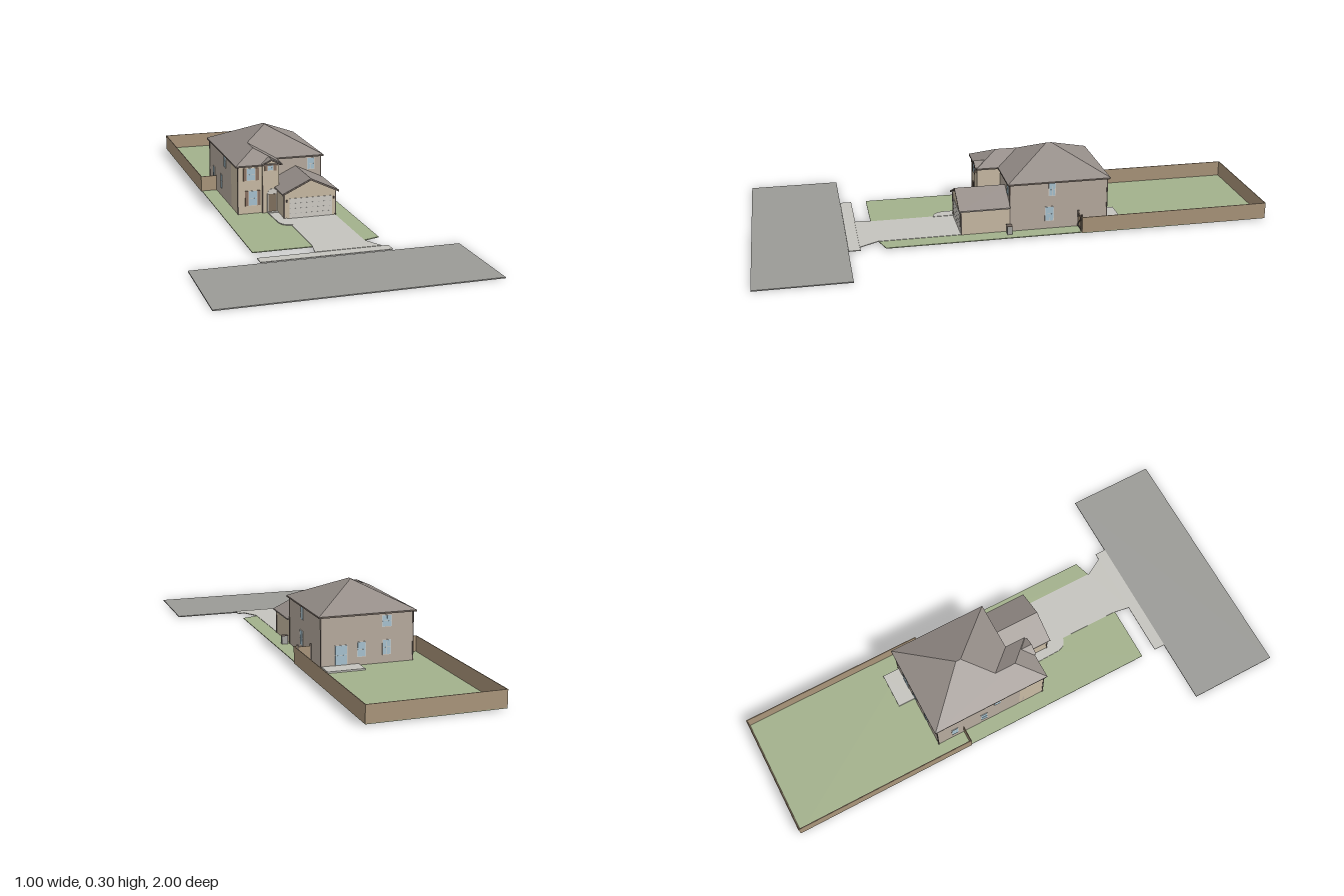
import * as THREE from 'three';

const mat = (color, side = THREE.FrontSide) => {
  const m = new THREE.MeshStandardMaterial({ color, side });
  m.flatShading = true;
  return m;
};
const M = {
  lawn: mat(0xa3b18c), road: mat(0x9b9b97), concrete: mat(0xc5c4be), fence: mat(0xac977c),
  siding: mat(0xb9ada0), stucco: mat(0xcbbda6), roof: mat(0x968e89, THREE.DoubleSide),
  trim: mat(0x756a62), white: mat(0xd3cfc8), glass: mat(0xa9c4d2), shutter: mat(0x8c7463),
  door: mat(0x81715f), metal: mat(0xa5a5a2),
};

export function createModel() {
  const root = new THREE.Group();
  root.name = 'houseOnLot';

  const add = (name, geo, m, parent = root) => {
    const mesh = new THREE.Mesh(geo, m);
    mesh.name = name;
    parent.add(mesh);
    return mesh;
  };
  // Box given by its limits
  const box = (name, x0, x1, y0, y1, z0, z1, m, parent) => {
    const b = add(name, new THREE.BoxGeometry(x1 - x0, y1 - y0, z1 - z0), m, parent);
    b.position.set((x0 + x1) / 2, (y0 + y1) / 2, (z0 + z1) / 2);
    return b;
  };
  const shapeOf = pts => new THREE.Shape(pts.map(p => new THREE.Vector2(...p)));
  const extrude = (shape, depth) =>
    new THREE.ExtrudeGeometry(shape, { depth, bevelEnabled: false, curveSegments: 12 });
  // Thin ground slab from a plan outline of [x, z] points
  const slab = (name, shape, y, thick, m) =>
    add(name, extrude(shape, thick).rotateX(Math.PI / 2).translate(0, y, 0), m);
  // Upright panel from an [x, y] outline, from z0 to z1
  const panel = (name, pts, z0, z1, m) =>
    add(name, extrude(shapeOf(pts), z1 - z0).translate(0, 0, z0), m);

  // Ground
  box('road', -0.5, 0.495, 0, 0.004, 0.645, 1, M.road);
  slab('lawn', shapeOf([[-0.25, -1], [0.245, -1], [0.245, -0.25], [0.24, -0.25], [0.24, 0.505],
    [0.172, 0.527], [-0.03, 0.54], [-0.247, 0.54], [-0.247, -0.25], [-0.25, -0.25]]), 0.008, 0.003, M.lawn);
  slab('driveway', shapeOf([[-0.025, 0.19], [0.175, 0.19], [0.175, 0.53], [0.215, 0.602],
    [-0.037, 0.602], [-0.025, 0.53]]), 0.0095, 0.003, M.concrete);
  box('sidewalk', -0.247, 0.24, 0.005, 0.008, 0.6, 0.645, M.concrete);
  const path = shapeOf([[-0.07, 0.1], [-0.03, 0.1], [-0.03, 0.21], [-0.02, 0.21], [-0.02, 0.292]]);
  path.quadraticCurveTo(-0.068, 0.288, -0.066, 0.23);
  slab('frontPath', path, 0.011, 0.004, M.concrete);
  box('backPatio', 0.03, 0.175, 0.006, 0.014, -0.435, -0.36, M.concrete);

  // Back yard fence
  const F = 0.003, top = 0.07;
  box('backFence', -0.25, 0.245, 0.006, top, -1, -1 + F, M.fence);
  box('rightFence', -0.25, -0.25 + F, 0.006, top, -1, -0.25, M.fence);
  box('leftFence', 0.245 - F, 0.245, 0.006, top, -1, -0.25, M.fence);
  box('fenceReturn', -0.25, -0.183, 0.006, top, -0.25 - F, -0.25, M.fence);
  box('fenceReturn', 0.232, 0.245, 0.006, top, -0.25 - F, -0.25, M.fence);

  // Garden gate
  const gate = new THREE.Group();
  gate.name = 'gardenGate';
  root.add(gate);
  box('gatePanel', 0.178, 0.232, 0.012, 0.066, -0.252, -0.25, M.fence, gate);
  for (const x of [0.18, 0.23]) box('gatePost', x - 0.003, x + 0.003, 0.006, 0.075, -0.255, -0.248, M.trim, gate);
  for (const y of [0.016, 0.063]) box('gateRail', 0.18, 0.23, y - 0.002, y + 0.002, -0.25, -0.247, M.trim, gate);
  const brace = box('gateBrace', 0.172, 0.238, 0.038, 0.041, -0.25, -0.2475, M.trim, gate);
  brace.rotation.z = 0.75;

  // House walls
  const eave = 0.203;
  box('mainWalls', -0.185, 0.178, 0.006, 0.198, -0.365, 0.02, M.siding);
  box('frontWingWalls', -0.185, -0.02, 0.006, 0.198, 0, 0.105, M.stucco);
  panel('entryBay', [[-0.088, 0.006], [-0.022, 0.006], [-0.022, 0.203], [-0.055, 0.218], [-0.088, 0.203]],
    0.09, 0.112, M.stucco);
  panel('garageWalls', [[-0.03, 0.006], [0.176, 0.006], [0.176, 0.108], [0.073, 0.158], [-0.03, 0.108]],
    0.01, 0.21, M.stucco);

  // Hipped roof, faces given by corners [x, y, z] in order
  const A = [-0.195, eave, -0.375], B = [0.187, eave, -0.375], C = [0.187, eave, 0.03];
  const D = [-0.195, eave, 0.115], E = [-0.01, eave, 0.115], V = [-0.01, eave, 0.03];
  const P1 = [-0.003, 0.297, -0.183], P2 = [-0.003, 0.297, -0.163];
  const W1 = [-0.102, 0.249, 0.022], W2 = [-0.102, 0.249, -0.065];
  const roofFaces = [[A, P1, B], [B, P1, P2, C], [A, P1, P2, W2, W1, D], [P2, W2, V, C], [W2, W1, E, V], [W1, D, E]];
  const verts = [];
  for (const f of roofFaces) {
    for (let i = 1; i < f.length - 1; i++) {
      const t = [f[0], f[i], f[i + 1]].map(p => new THREE.Vector3(...p));
      const up = t[1].clone().sub(t[0]).cross(t[2].clone().sub(t[0])).y > 0;
      for (const p of up ? t : [t[0], t[2], t[1]]) verts.push(p.x, p.y, p.z);
    }
  }
  const hip = new THREE.BufferGeometry();
  hip.setAttribute('position', new THREE.Float32BufferAttribute(verts, 3));
  hip.computeVertexNormals();
  add('hipRoof', hip, M.roof);
  const eaves = shapeOf([A, B, C, V, E, D].map(p => [p[0], p[2]]));
  slab('eaves', eaves, eave - 0.0003, 0.006, M.trim);

  // Gable roofs with the ridge along z
  const gableRoof = (name, x0, x1, y, apex, z0, z1, t) => {
    const c = (x0 + x1) / 2;
    panel(name, [[x0, y - t], [c, apex - t], [x1, y - t], [x1, y], [c, apex], [x0, y]], z0, z1, M.roof);
    panel(name + 'Fascia', [[x0, y - t - 0.002], [c, apex - t - 0.002], [x1, y - t - 0.002],
      [x1, y - 0.001], [c, apex - 0.001], [x0, y - 0.001]], z1 - 0.002, z1 + 0.001, M.trim);
  };
  gableRoof('garageRoof', -0.04, 0.187, 0.109, 0.163, 0.02, 0.218, 0.005);
  gableRoof('entryGableRoof', -0.093, -0.017, 0.205, 0.223, 0.07, 0.12, 0.004);

  // Garage door with panel grooves, and lamps
  box('garageDoor', -0.01, 0.162, 0.008, 0.088, 0.205, 0.212, M.white);
  for (let i = 1; i < 4; i++) box('doorGroove', -0.01, 0.162, 0.008 + i * 0.02, 0.0085 + i * 0.02, 0.211, 0.2124, M.metal);
  for (const x of [-0.02, 0.169]) box('wallLamp', x - 0.003, x + 0.003, 0.074, 0.084, 0.209, 0.215, M.trim);

  // Arched entry
  const arch = shapeOf([[-0.07, 0.008], [-0.028, 0.008], [-0.028, 0.083]]);
  arch.absarc(-0.049, 0.083, 0.021, 0, Math.PI, false);
  add('entryArch', extrude(arch, 0.004).translate(0, 0, 0.11), M.white);
  box('frontDoor', -0.065, -0.033, 0.012, 0.083, 0.112, 0.1155, M.door);
  box('frontStep', -0.07, -0.028, 0.006, 0.013, 0.11, 0.13, M.concrete);

  // Corner boards and downspouts
  for (const [x, z, h] of [[-0.185, 0.105, 0.2], [-0.088, 0.113, 0.12], [0.178, 0.02, 0.2], [0.176, 0.21, 0.106],
    [-0.03, 0.21, 0.106], [-0.185, -0.365, 0.2], [0.178, -0.365, 0.2]])
    box('downspout', x - 0.002, x + 0.002, 0.008, h, z - 0.002, z + 0.002, M.trim);

  // Windows: position on the wall, size, facing angle, shutter width
  const windowAt = (x, y, z, w, h, turn, shutter = 0) => {
    const g = new THREE.Group();
    g.name = 'window';
    g.position.set(x, y, z);
    g.rotation.y = turn;
    root.add(g);
    const a = w / 2, b = h / 2;
    box('windowFrame', -a, a, -b, b, -0.002, 0.0015, M.white, g);
    for (const s of [-1, 1]) {
      box('pane', Math.min(0, s * (a - 0.002)) + 0.0005, Math.max(0, s * (a - 0.002)) - 0.0005,
        0.0007, b - 0.002, 0, 0.0022, M.glass, g);
      box('pane', Math.min(0, s * (a - 0.002)) + 0.0005, Math.max(0, s * (a - 0.002)) - 0.0005,
        -b + 0.002, -0.0007, 0, 0.0022, M.glass, g);
      if (shutter) {
        const c = s * (a + shutter / 2);
        box('shutter', c - shutter / 2, c + shutter / 2, -b, b, -0.001, 0.003, M.shutter, g);
      }
    }
  };
  const R = Math.PI / 2;
  windowAt(-0.126, 0.07, 0.105, 0.036, 0.06, 0, 0.013);
  windowAt(-0.133, 0.166, 0.105, 0.036, 0.05, 0, 0.013);
  windowAt(-0.057, 0.189, 0.112, 0.024, 0.024, 0, 0.011);
  windowAt(0.137, 0.168, 0.02, 0.032, 0.048, 0);
  windowAt(0.178, 0.169, -0.145, 0.028, 0.054, R);
  windowAt(0.178, 0.069, -0.135, 0.036, 0.06, R);
  windowAt(-0.185, 0.169, -0.1, 0.03, 0.05, -R);
  windowAt(-0.185, 0.07, -0.29, 0.03, 0.06, -R);
  windowAt(-0.185, 0.07, -0.16, 0.03, 0.06, -R);
  windowAt(-0.08, 0.168, -0.365, 0.04, 0.045, Math.PI);
  windowAt(0.02, 0.068, -0.365, 0.035, 0.058, Math.PI);
  windowAt(-0.08, 0.068, -0.365, 0.035, 0.058, Math.PI);
  windowAt(0.1, 0.052, -0.365, 0.05, 0.076, Math.PI);

  // Air conditioner beside the garage
  box('airConditioner', 0.186, 0.21, 0.006, 0.04, 0.018, 0.036, M.metal);
  box('airConditionerLid', 0.185, 0.211, 0.04, 0.042, 0.017, 0.037, M.trim);

  return root;
}
